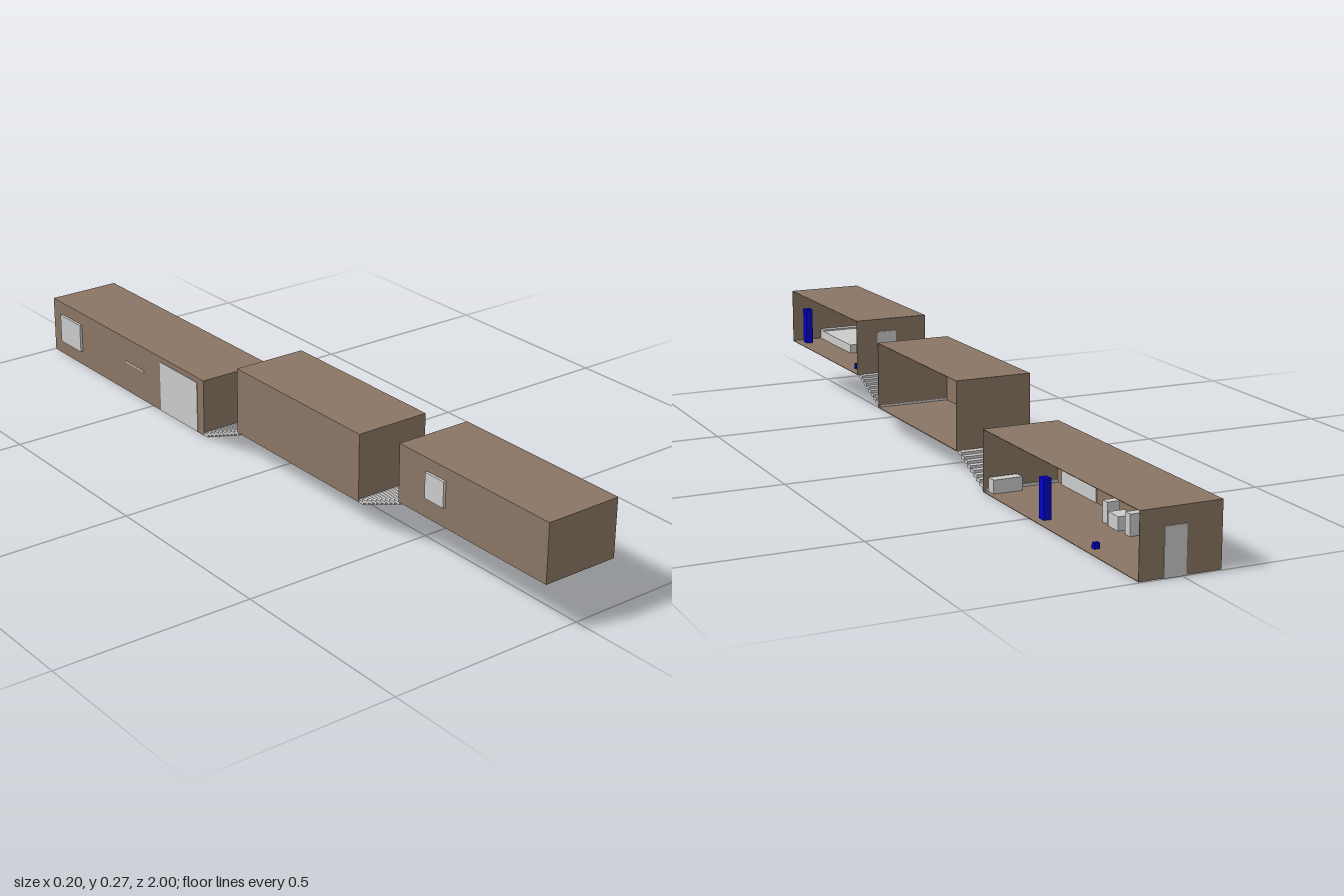
import * as THREE from 'three';

const mat = (color) => new THREE.MeshStandardMaterial({ color, side: THREE.DoubleSide });
const brown = mat(0x8a7564), grey = mat(0xcccccc), blue = mat(0x0000cc);
const X0 = -0.096, X1 = 0.102, T = 0.0015; // room sides and wall thickness

// Box given by its extents along each axis
function block(parent, name, material, [x0, x1], [y0, y1], [z0, z1]) {
  const mesh = new THREE.Mesh(new THREE.BoxGeometry(x1 - x0, y1 - y0, z1 - z0), material);
  mesh.position.set((x0 + x1) / 2, (y0 + y1) / 2, (z0 + z1) / 2);
  mesh.name = name;
  parent.add(mesh);
}

// Room shell, open on its left (+x) side
function room(name, y0, y1, z0, z1) {
  const g = new THREE.Group();
  g.name = name;
  block(g, 'floor', brown, [X0, X1], [y0, y0 + T], [z0, z1]);
  block(g, 'roof', brown, [X0, X1], [y1 - T, y1], [z0, z1]);
  block(g, 'sideWall', brown, [X0, X0 + T], [y0, y1], [z0, z1]);
  block(g, 'backWall', brown, [X0, X1], [y0, y1], [z0, z0 + T]);
  block(g, 'frontWall', brown, [X0, X1], [y0, y1], [z1 - T, z1]);
  return g;
}

// Door through the back wall
function door(g, y, z) {
  block(g, 'door', grey, [-0.01, 0.043], [y - 0.0005, y + 0.112], [z - 0.002, z + 0.004]);
}

// Standing figure with a small box further along the floor
function figure(g, y, z, boxZ) {
  block(g, 'figure', blue, [0.062, 0.081], [y - 0.0005, y + 0.098], [z - 0.012, z + 0.012]);
  block(g, 'smallBox', blue, [0.066, 0.08], [y - 0.0005, y + 0.015], [boxZ - 0.006, boxZ + 0.006]);
}

// Flight of overlapping treads going down towards the back
function stairs(name, yTop, yBottom, zTop, zBottom, count = 9) {
  const g = new THREE.Group();
  g.name = name;
  const rise = (yTop - yBottom) / count, run = (zTop - zBottom) / count;
  for (let i = 0; i < count; i++) {
    const y = yTop - i * rise, z = zTop - i * run;
    block(g, 'tread', grey, [-0.095, 0.096], [y - rise * 1.2, y], [z - run * 1.2, z]);
  }
  return g;
}

export function createModel() {
  const model = new THREE.Group();

  // Upper room
  const upper = room('upperRoom', 0.122, 0.268, 0.515, 1);
  door(upper, 0.122, 0.515);
  figure(upper, 0.122, 0.96, 0.583);
  block(upper, 'window', grey, [-0.103, -0.092], [0.172, 0.236], [0.612, 0.675]);
  block(upper, 'bed', grey, [-0.094, 0.018], [0.123, 0.147], [0.77, 0.998]);
  block(upper, 'headboard', grey, [-0.094, 0.018], [0.123, 0.151], [0.978, 0.998]);
  block(upper, 'stool', grey, [-0.088, -0.052], [0.1215, 0.142], [0.715, 0.763]);
  block(upper, 'cabinet', grey, [-0.094, -0.052], [0.1215, 0.156], [0.522, 0.578]);

  // Middle room, empty
  const middle = room('middleRoom', 0.064, 0.237, -0.113, 0.371);

  // Lower room
  const lower = room('lowerRoom', 0.0005, 0.153, -0.997, -0.262);
  door(lower, 0.0005, -0.997);
  figure(lower, 0.0005, -0.522, -0.763);
  block(lower, 'window', grey, [-0.103, -0.092], [0.04, 0.118], [-0.952, -0.85]);
  block(lower, 'widePanel', grey, [-0.0975, -0.092], [0.002, 0.139], [-0.46, -0.29]);
  block(lower, 'shelf', grey, [-0.0975, -0.075], [0.083, 0.087], [-0.628, -0.54]);
  block(lower, 'bench', grey, [0.015, 0.09], [0.001, 0.036], [-0.295, -0.268]);

  // Table between two chairs
  block(lower, 'table', grey, [-0.07, -0.03], [0.001, 0.035], [-0.675, -0.63]);
  for (const z of [-0.608, -0.71]) {
    block(lower, 'chair', grey, [-0.066, -0.034], [0.001, 0.053], [z - 0.011, z + 0.011]);
  }

  model.add(upper, middle, lower);
  model.add(stairs('upperStairs', 0.122, 0.064, 0.517, 0.372));
  model.add(stairs('lowerStairs', 0.064, 0.002, -0.111, -0.264));
  return model;
}
